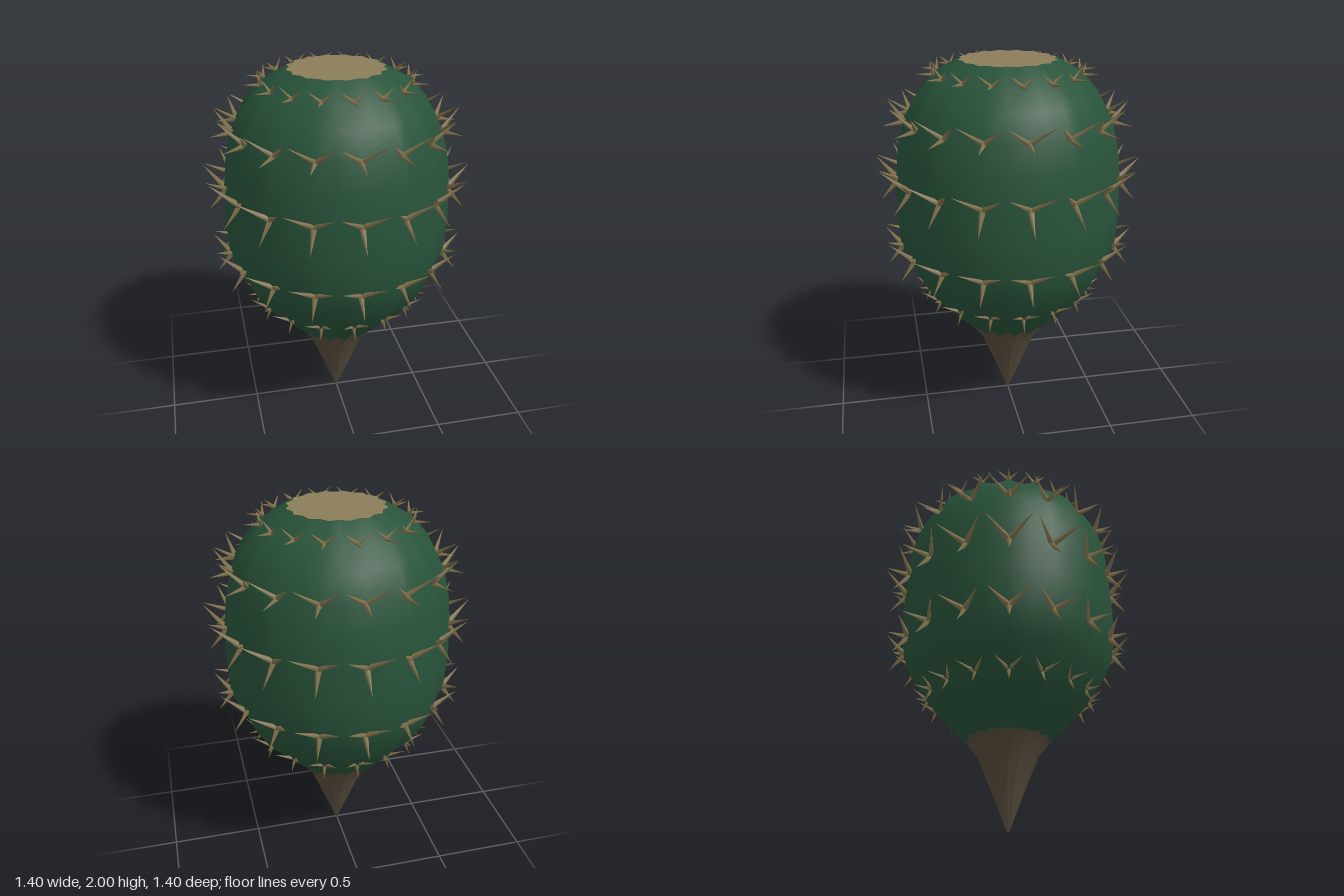
import * as THREE from 'three';
import { mergeGeometries } from 'three/addons/utils/BufferGeometryUtils.js';

const RIBS = 16;
const COLS = RIBS * 2;

// [height, ridge radius, valley radius]
const ROOT = [
  [0, 0.004, 0.003], [0.2, 0.083, 0.07], [0.4, 0.163, 0.138], [0.49, 0.235, 0.2],
];
const BODY = [
  [0.49, 0.235, 0.2], [0.6, 0.345, 0.315], [0.72, 0.455, 0.425], [0.86, 0.54, 0.508], [1.0, 0.597, 0.563],
  [1.2, 0.61, 0.576], [1.4, 0.604, 0.57], [1.55, 0.588, 0.553], [1.7, 0.553, 0.517],
  [1.82, 0.488, 0.455], [1.92, 0.398, 0.372], [2.0, 0.26, 0.24],
];

// Spine rings: base height and radius, tips of the paired arms and of the lower spine
const SPINES = [
  { y: 0.72, r: 0.44, arm: [0.075, 0.765, 0.52], low: [0, 0.65, 0.475], w: 0.012 },
  { y: 1.0, r: 0.585, arm: [0.115, 1.07, 0.675], low: [0, 0.9, 0.67], w: 0.017 },
  { y: 1.385, r: 0.59, arm: [0.127, 1.48, 0.7], low: [0, 1.275, 0.69], w: 0.018 },
  { y: 1.695, r: 0.54, arm: [0.115, 1.79, 0.625], low: [0, 1.675, 0.66], w: 0.016 },
  { y: 1.93, r: 0.385, arm: [0.065, 1.985, 0.4], low: [0, 1.935, 0.475], w: 0.011 },
];

// Star-shaped cross-sections joined into a ribbed skin
function ribbedSkin(rows) {
  const pos = [], index = [];
  for (const [y, ridge, valley] of rows) {
    for (let i = 0; i < COLS; i++) {
      const a = (i / COLS) * Math.PI * 2;
      const r = i % 2 ? valley : ridge;
      pos.push(Math.sin(a) * r, y, Math.cos(a) * r);
    }
  }
  for (let j = 0; j < rows.length - 1; j++) {
    for (let i = 0; i < COLS; i++) {
      const a = j * COLS + i, b = j * COLS + ((i + 1) % COLS);
      index.push(a, b, b + COLS, a, b + COLS, a + COLS);
    }
  }
  const geo = new THREE.BufferGeometry();
  geo.setAttribute('position', new THREE.Float32BufferAttribute(pos, 3));
  geo.setIndex(index);
  geo.computeVertexNormals();
  return geo;
}

// Thin four-sided thorn between two points
function thorn(from, to, width) {
  const dir = to.clone().sub(from);
  const geo = new THREE.ConeGeometry(width, dir.length(), 4, 1);
  geo.translate(0, dir.length() / 2, 0);
  geo.applyQuaternion(new THREE.Quaternion().setFromUnitVectors(new THREE.Vector3(0, 1, 0), dir.normalize()));
  return geo.translate(from.x, from.y, from.z);
}

function spineRing({ y, r, arm, low, w }) {
  const base = new THREE.Vector3(0, y, r);
  const tips = [arm, [-arm[0], arm[1], arm[2]], low];
  const cluster = mergeGeometries(tips.map((t) => thorn(base, new THREE.Vector3(...t), w)));
  const all = [];
  for (let i = 0; i < RIBS; i++) all.push(cluster.clone().rotateY((i / RIBS) * Math.PI * 2));
  return mergeGeometries(all);
}

export function createModel() {
  const mat = (name, color) => {
    const m = new THREE.MeshStandardMaterial({ color });
    m.name = name;
    return m;
  };
  const green = mat('darkGreen', 0x28533a);
  const tan = mat('dryTan', 0x8a7d5a);
  const spineTan = mat('spineTan', 0x85754f);
  const brown = mat('rootBrown', 0x574d3c);

  const group = new THREE.Group();
  group.name = 'ribbedCactus';
  const add = (name, geo, material) => {
    const mesh = new THREE.Mesh(geo, material);
    mesh.name = name;
    group.add(mesh);
  };

  // Ribbed body and pointed root
  add('body', ribbedSkin(BODY), green);
  add('root', ribbedSkin(ROOT), brown);

  // Flat scalloped crown
  const [topY, ridge, valley] = BODY[BODY.length - 1];
  const outline = [];
  for (let i = 0; i < COLS; i++) {
    const a = (i / COLS) * Math.PI * 2 + Math.PI / 2;
    const r = i % 2 ? valley : ridge;
    outline.push(new THREE.Vector2(Math.cos(a) * r, Math.sin(a) * r));
  }
  const crown = new THREE.ShapeGeometry(new THREE.Shape(outline));
  crown.rotateX(-Math.PI / 2).translate(0, topY, 0);
  add('crown', crown, tan);

  // Thorn clusters along every rib
  SPINES.forEach((ring, i) => add(`spineRing${i + 1}`, spineRing(ring), spineTan));
  return group;
}
